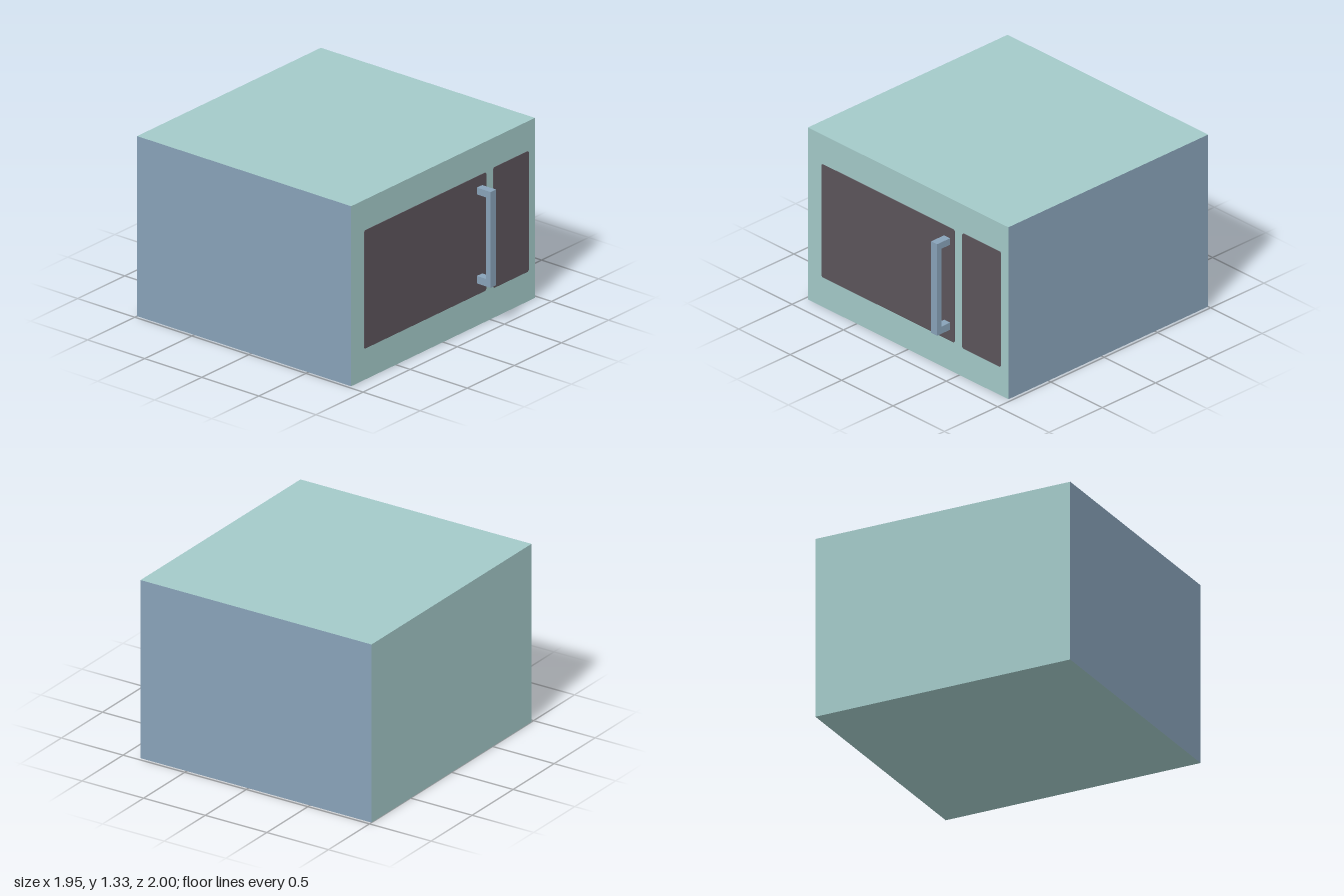
import * as THREE from 'three';

const mat = (name, color) => {
  const m = new THREE.MeshStandardMaterial({ color });
  m.name = name;
  return m;
};

export function createModel() {
  const group = new THREE.Group();
  group.name = 'microwaveOven';
  const teal = mat('paleTeal', 0xa3c9c8);
  const blue = mat('steelBlue', 0x88a2b8);
  const dark = mat('darkGlass', 0x5c545b);
  const frontZ = 0.875;

  const add = (name, geometry, material, parent = group) => {
    const mesh = new THREE.Mesh(geometry, material);
    mesh.name = name;
    parent.add(mesh);
    return mesh;
  };

  // Cabinet: blue left and right sides, teal elsewhere
  add('cabinet', new THREE.BoxGeometry(1.95, 1.325, 1.875), [blue, blue, teal, teal, teal, teal])
    .position.set(0, 0.6625, -0.0625);

  // Thin front plates with tiny clipped corners
  const plate = (name, x0, x1, y0, y1) => {
    const c = 0.01;
    const shape = new THREE.Shape([
      [x0 + c, y0], [x1 - c, y0], [x1, y0 + c], [x1, y1 - c],
      [x1 - c, y1], [x0 + c, y1], [x0, y1 - c], [x0, y0 + c],
    ].map(([x, y]) => new THREE.Vector2(x, y)));
    const geometry = new THREE.ExtrudeGeometry(shape, { depth: 0.004, bevelEnabled: false });
    add(name, geometry, dark).position.z = frontZ;
  };
  plate('doorWindow', -0.84, 0.455, 0.23, 1.1);
  plate('controlPanel', 0.53, 0.905, 0.22, 1.107);

  // Door handle: a squared bracket, drawn in side profile and extruded across x
  const profile = new THREE.Shape([
    [0, 0.315], [0.125, 0.315], [0.125, 1.02], [0, 1.02],
    [0, 0.97], [0.085, 0.97], [0.085, 0.37], [0, 0.37],
  ].map(([z, y]) => new THREE.Vector2(z, y)));
  const handle = add('doorHandle',
    new THREE.ExtrudeGeometry(profile, { depth: 0.058, bevelEnabled: false }), blue);
  handle.rotation.y = -Math.PI / 2;
  handle.position.set(0.412, 0, frontZ);

  return group;
}
